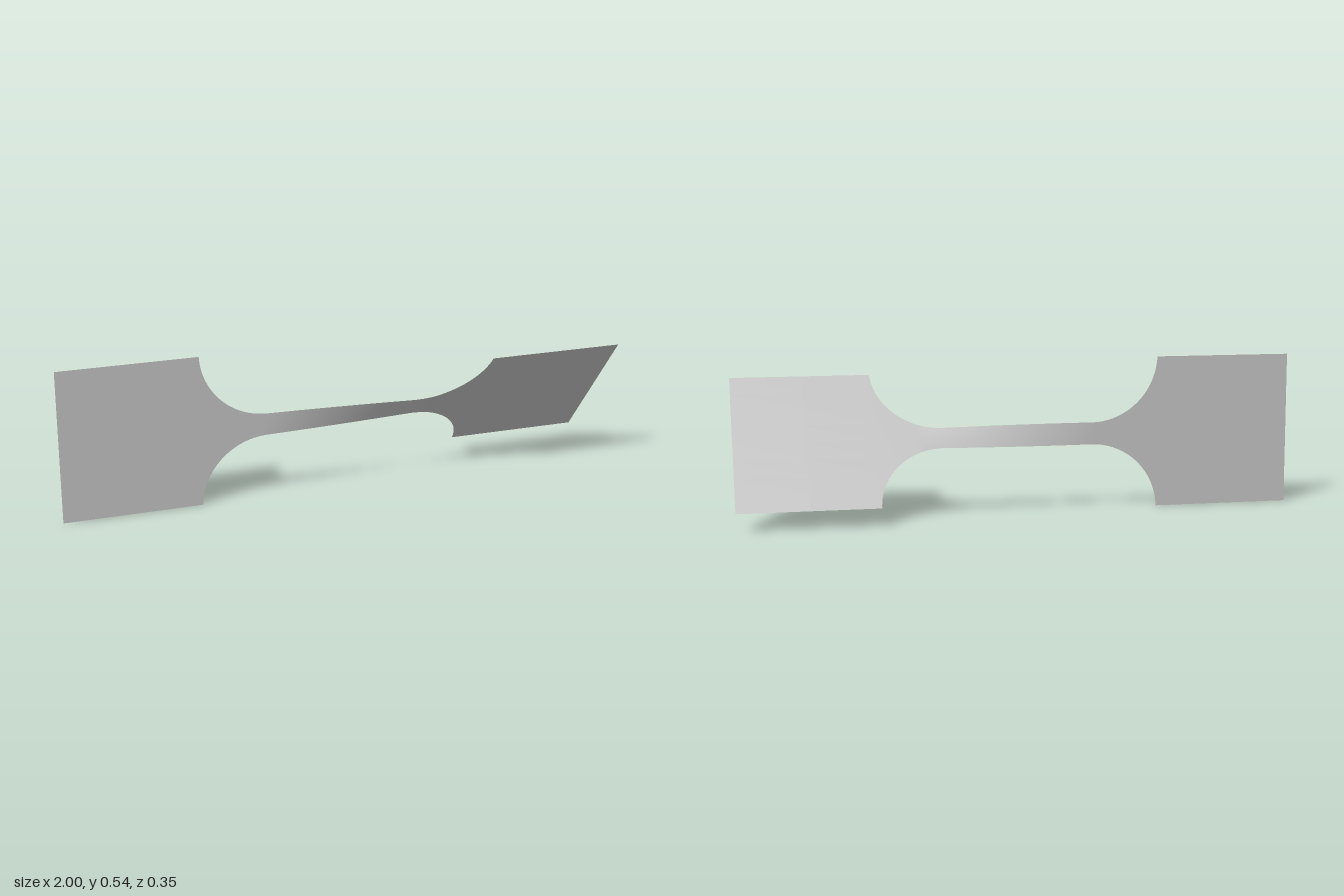
import * as THREE from 'three';

const CENTER_Y = 0.2715, HALF_END = 0.2715, HALF_NECK = 0.0395;
const ARC_X = 0.267, ARC_R = 0.242;
const TWIST = THREE.MathUtils.degToRad(39.6);
const TWIST_START = -0.28, TWIST_END = 0.35;

// Half outline from the neck to the outer end: [distance along x, half height]
function halfOutline() {
  const pts = [];
  const neckSteps = 14, arcSteps = 28;
  for (let i = 0; i < neckSteps; i++) pts.push([ARC_X * i / neckSteps, HALF_NECK]);
  const end = Math.acos((HALF_NECK + ARC_R - HALF_END) / ARC_R);
  for (let i = 0; i <= arcSteps; i++) {
    const a = end * i / arcSteps;
    pts.push([ARC_X + ARC_R * Math.sin(a), HALF_NECK + ARC_R * (1 - Math.cos(a))]);
  }
  pts.push([0.75, HALF_END], [1, HALF_END]);
  return pts;
}

// Thin sheet whose neck twists the right-hand paddle forward
function twistedSheet() {
  const half = halfOutline();
  const stations = [
    ...half.slice(1).reverse().map(([x, h]) => [-x, h]),
    ...half,
  ];
  const rows = 8;
  const geo = new THREE.PlaneGeometry(2, 1, stations.length - 1, rows);
  const pos = geo.attributes.position;
  for (let r = 0; r <= rows; r++) {
    stations.forEach(([x, h], c) => {
      const t = THREE.MathUtils.clamp((x - TWIST_START) / (TWIST_END - TWIST_START), 0, 1);
      const angle = TWIST * t;
      const v = h * (1 - 2 * r / rows);
      pos.setXYZ(r * stations.length + c, x, CENTER_Y + v * Math.cos(angle), v * Math.sin(angle));
    });
  }
  geo.computeVertexNormals();
  return geo;
}

export function createModel() {
  const group = new THREE.Group();
  group.name = 'twistedStrip';
  const metal = new THREE.MeshStandardMaterial({ color: 0xc0c0c0, side: THREE.DoubleSide });
  metal.name = 'light grey';
  const sheet = new THREE.Mesh(twistedSheet(), metal);
  sheet.name = 'twistedSheet';
  group.add(sheet);
  return group;
}
